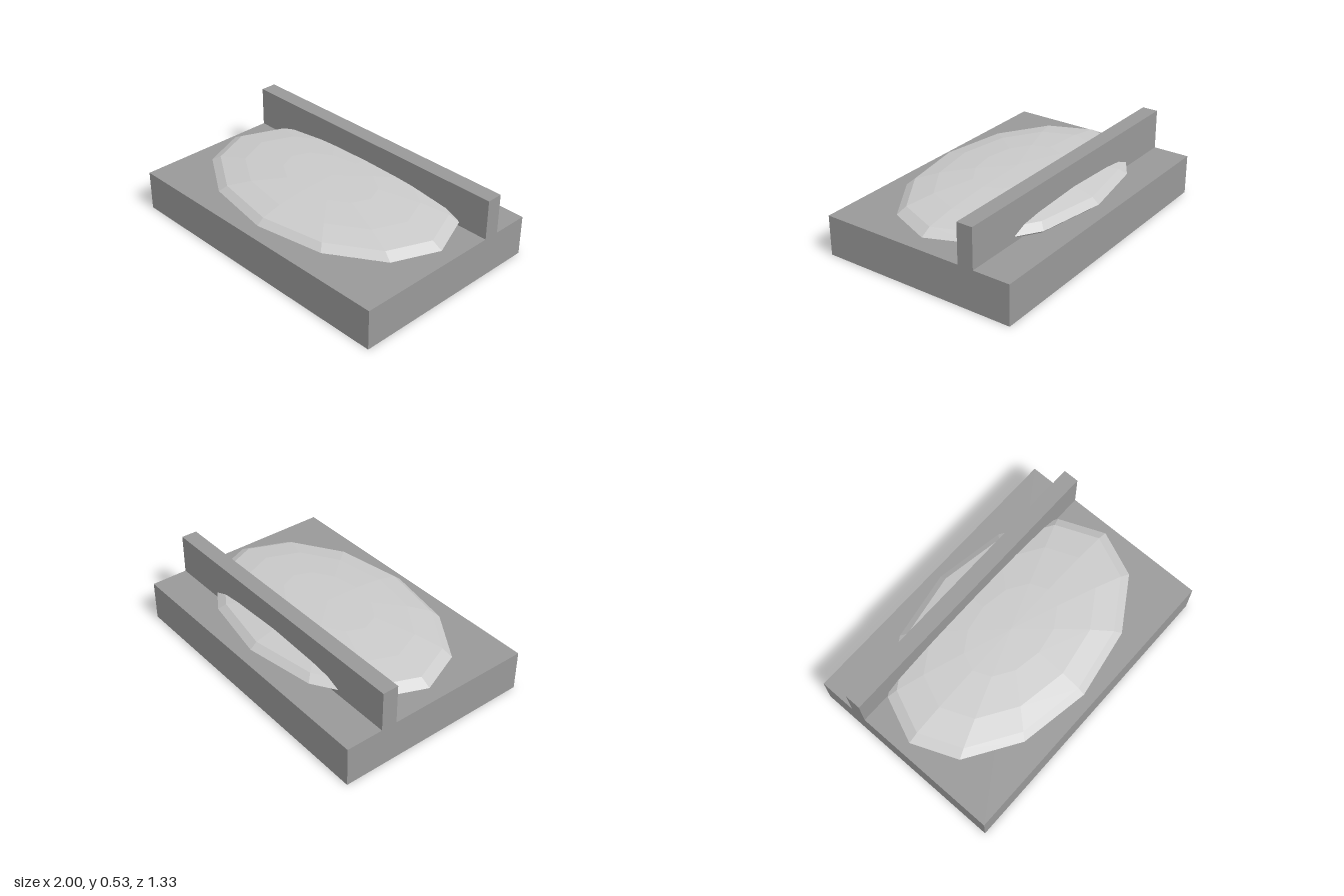
import * as THREE from 'three';

export function createModel() {
  const model = new THREE.Group();
  const baseGrey = new THREE.MeshStandardMaterial({ color: 0x999999 });
  baseGrey.name = 'mid grey';
  const domeGrey = new THREE.MeshStandardMaterial({ color: 0xcacaca });
  domeGrey.name = 'light grey';

  function add(name, geometry, material, x, y, z) {
    const mesh = new THREE.Mesh(geometry, material);
    mesh.name = name;
    mesh.position.set(x, y, z);
    model.add(mesh);
  }

  // Slab that everything rests on
  add('base', new THREE.BoxGeometry(2, 0.267, 1.333), baseGrey, 0, 0.1335, 0);

  // Upright board across the full width, towards the back
  add('backBoard', new THREE.BoxGeometry(2, 0.267, 0.106), baseGrey, 0, 0.4, -0.367);

  // Flattened faceted dome, partly sunk into the base and crossed by the board
  const dome = new THREE.SphereGeometry(1, 12, 8).scale(0.93, 0.1, 0.597).toNonIndexed();
  dome.computeVertexNormals();
  add('cushion', dome, domeGrey, 0, 0.303, 0);

  return model;
}
